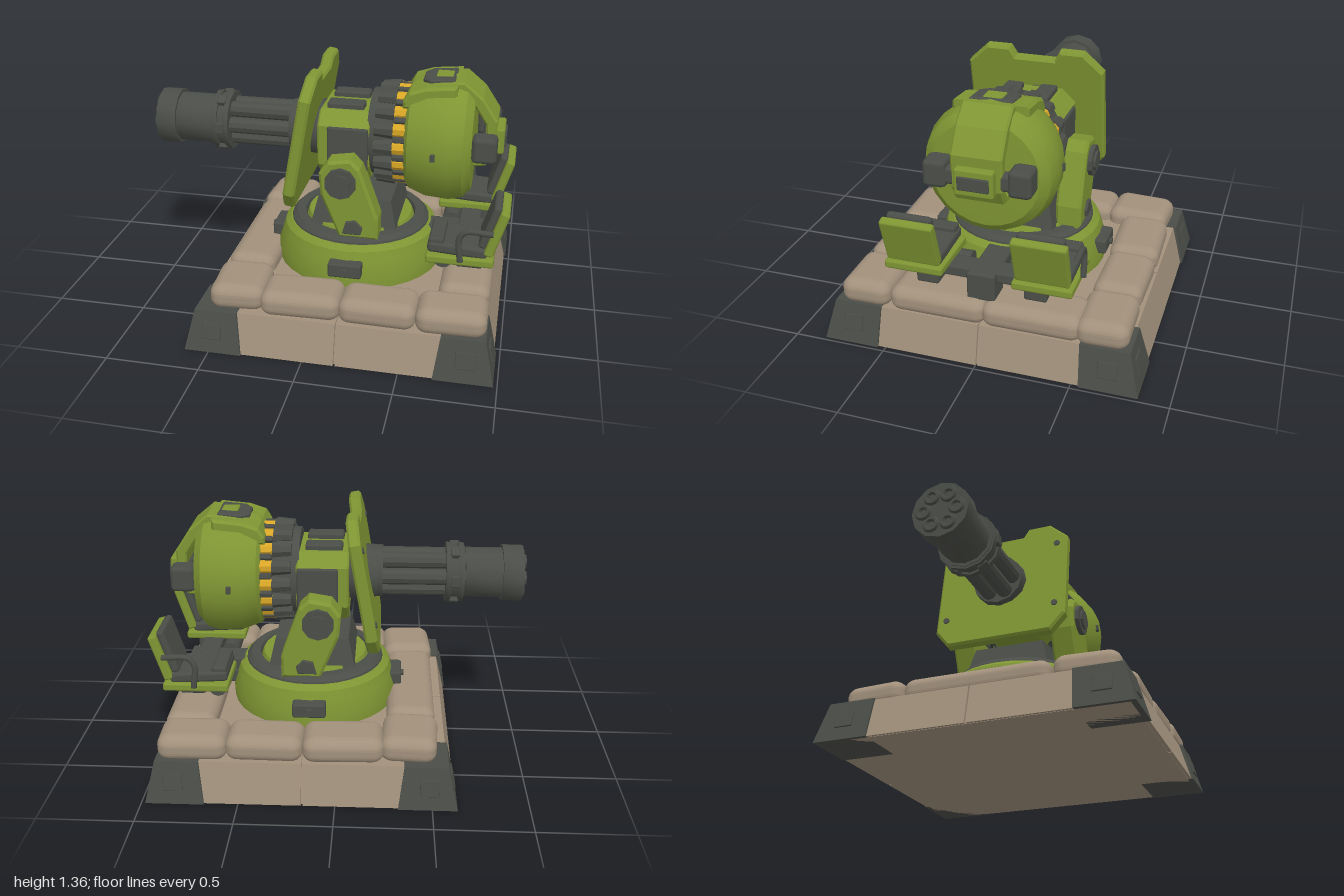
import * as THREE from 'three';
import { toCreasedNormals } from 'three/addons/utils/BufferGeometryUtils.js';
import { RoundedBoxGeometry } from 'three/addons/geometries/RoundedBoxGeometry.js';

const mat = (name, color) => { const m = new THREE.MeshStandardMaterial({ color }); m.name = name; return m; };
const green = mat('olive green', 0x7f9533), dark = mat('gunmetal', 0x4b4e48);
const sand = mat('sandbag tan', 0xa1907b), brass = mat('brass', 0xd9a726);

function add(parent, name, geo, material, x = 0, y = 0, z = 0) {
  const m = new THREE.Mesh(geo, material);
  m.name = name; m.position.set(x, y, z); parent.add(m);
  return m;
}
function group(parent, name, x = 0, y = 0, z = 0) {
  const g = new THREE.Group(); g.name = name; g.position.set(x, y, z); parent.add(g);
  return g;
}
const box = (w, h, d, r = 0.012) => new RoundedBoxGeometry(w, h, d, 1, r);
// cylinder lying along x; r0 is the end towards -x
const cylX = (r0, r1, len, n = 16) =>
  toCreasedNormals(new THREE.CylinderGeometry(r0, r1, len, n).rotateZ(Math.PI / 2), 0.6);
const cylZ = (r, len, n = 16) =>
  toCreasedNormals(new THREE.CylinderGeometry(r, r, len, n).rotateX(Math.PI / 2), 0.6);
const lathe = (pts, n) =>
  toCreasedNormals(new THREE.LatheGeometry(pts.map(p => new THREE.Vector2(...p)), n), 0.45);

// block between a bottom and a top rectangle, each [x0, x1, z0, z1]
function frustum(bottom, top, y0, y1) {
  const g = new THREE.BoxGeometry(1, 1, 1).toNonIndexed(), p = g.attributes.position;
  for (let i = 0; i < p.count; i++) {
    const r = p.getY(i) > 0 ? top : bottom;
    p.setXYZ(i, r[p.getX(i) > 0 ? 1 : 0], p.getY(i) > 0 ? y1 : y0, r[p.getZ(i) > 0 ? 3 : 2]);
  }
  g.computeVertexNormals();
  return g;
}
// bevelled plate from an outline, centred on its depth
function plate(pts, depth, bevel = 0.01) {
  const g = new THREE.ExtrudeGeometry(new THREE.Shape(pts.map(p => new THREE.Vector2(...p))), {
    depth: depth - 2 * bevel, bevelEnabled: bevel > 0, bevelSize: bevel, bevelOffset: -bevel,
    bevelThickness: bevel, bevelSegments: 1 });
  return g.translate(0, 0, bevel - depth / 2);
}

function buildBase(root) {
  const base = group(root, 'base', 0.175);
  add(base, 'baseCore', frustum([-0.78, 0.78, -0.81, 0.81], [-0.73, 0.73, -0.75, 0.75], 0, 0.205), sand);
  add(base, 'innerFloor', frustum([-0.5, 0.55, -0.53, 0.53], [-0.48, 0.53, -0.51, 0.51], 0.2, 0.25), sand);
  for (const s of [-1, 1]) {
    // two sloped wall panels on every side, parted by a seam
    for (const [a, b] of [[-0.55, -0.01], [0.0, 0.55]]) {
      const zs = (o, i) => s > 0 ? [i, o] : [-o, -i];
      add(base, 'sidePanel', frustum([a, b, ...zs(0.83, 0.6)], [a, b, ...zs(0.77, 0.6)], 0.002, 0.215), sand);
      add(base, 'endPanel', frustum([...zs(0.795, 0.6), a, b], [...zs(0.745, 0.6), a, b], 0.002, 0.215), sand);
    }
    // corner caps with raised square plates
    for (const t of [-1, 1]) {
      const r = (o, i, k) => k > 0 ? [i, o] : [-o, -i];
      add(base, 'cornerCap', frustum([...r(0.805, 0.5, t), ...r(0.84, 0.54, s)],
        [...r(0.755, 0.53, t), ...r(0.785, 0.53, s)], 0, 0.22), dark);
      const a = add(base, 'cornerPlate', box(0.1, 0.09, 0.012, 0.004), dark, t * 0.66, 0.115, s * 0.813);
      a.rotation.x = -s * 0.25;
      const b = add(base, 'cornerPlate', box(0.012, 0.09, 0.1, 0.004), dark, t * 0.781, 0.115, s * 0.68);
      b.rotation.z = t * 0.22;
    }
  }
}

function buildSandbags(root) {
  const bags = group(root, 'sandbags');
  // sagging bag: rounded box, fuller in the middle than at its ends
  const bag = (x, z, w, d, turn = 0) => {
    const g = new RoundedBoxGeometry(w, 0.155, d, 4, 0.06), p = g.attributes.position;
    for (let i = 0; i < p.count; i++) {
      const u = p.getX(i) / w * 2, v = p.getZ(i) / d * 2;
      p.setY(i, p.getY(i) * (1.03 - 0.14 * u * u - 0.12 * v * v));
    }
    g.computeVertexNormals();
    add(bags, 'sandbag', g, sand, x, 0.268, z).rotation.y = turn;
  };
  for (const s of [-1, 1]) {
    bag(-0.035, s * 0.625, 0.42, 0.27, 0.03);
    bag(0.37, s * 0.63, 0.4, 0.26, -0.02);
    bag(0.745, s * 0.63, 0.36, 0.27, 0.02);
    bag(-0.38, s * 0.57, 0.29, 0.34, s * 0.06);
    bag(0.79, s * 0.25 - 0.02, 0.27, 0.52);
  }
  bag(-0.39, -0.01, 0.26, 0.8);
}

function buildTurntable(root) {
  const t = group(root, 'turntable', 0.155);
  add(t, 'turntableDrum', lathe([[0.46, 0.22], [0.465, 0.32], [0.44, 0.4], [0.425, 0.45], [0.395, 0.475], [0, 0.475]], 32), green);
  add(t, 'bearingRing', lathe([[0.39, 0.46], [0.385, 0.485], [0.36, 0.51], [0.31, 0.51], [0.3, 0.47]], 32), dark);
  add(t, 'turntableDeck', new THREE.CylinderGeometry(0.29, 0.31, 0.05, 24), green, 0, 0.49, 0);
  for (let i = 0; i < 4; i++) {
    const g = group(t, 'rimPlate'); g.rotation.y = i * Math.PI / 2;
    add(g, 'rimPlateBlock', box(0.18, 0.08, 0.08), dark, 0, 0.365, 0.455);
    add(g, 'rimPlateBolt', cylZ(0.018, 0.02, 8), dark, 0, 0.365, 0.5);
  }
  add(t, 'pedestal', frustum([-0.24, 0.24, -0.24, 0.24], [-0.2, 0.2, -0.2, 0.2], 0.49, 0.66), dark);

  // mirrored yoke arms with pivots
  const arm = [[0.1, 0.5], [0.31, 0.5], [0.31, 0.62], [0.21, 0.9], [0.16, 0.95], [0.04, 0.93], [-0.01, 0.86], [0, 0.74]];
  const foot = [[0.12, 0.53], [0.22, 0.53], [0.23, 0.57], [0.19, 0.61], [0.14, 0.6]];
  const yoke = group(root, 'yoke');
  for (const s of [-1, 1]) {
    add(yoke, 'yokeArm', plate(arm, 0.14, 0.015), green, 0, 0, s * 0.295);
    add(yoke, 'yokeFootPlate', plate(foot, 0.02, 0.004), dark, 0, 0, s * 0.37);
    add(yoke, 'pivotCap', cylZ(0.085, 0.06, 10), dark, 0.11, 0.82, s * 0.36);
    add(yoke, 'pivotBolt', cylZ(0.055, 0.03, 10), dark, 0.11, 0.82, s * 0.388);
  }
}

function buildGun(root) {
  const gun = group(root, 'gun', 0, 0.99, 0);
  // six rotating barrels held by clamps
  for (let i = 0; i < 6; i++) {
    const a = i * Math.PI / 3, y = Math.sin(a) * 0.09, z = Math.cos(a) * 0.09;
    add(gun, 'barrel', cylX(0.042, 0.045, 0.84, 10), dark, -0.56, y, z);
    add(gun, 'muzzle', toCreasedNormals(new THREE.TorusGeometry(0.032, 0.014, 6, 12).rotateY(Math.PI / 2), 1), dark, -0.982, y, z);
  }
  add(gun, 'barrelCore', cylX(0.06, 0.06, 0.8, 10), dark, -0.55);
  for (const [x, r, len] of [[-0.925, 0.155, 0.11], [-0.77, 0.138, 0.2], [-0.615, 0.152, 0.1], [-0.645, 0.165, 0.03], [-0.58, 0.165, 0.03], [-0.2, 0.145, 0.05]])
    add(gun, 'barrelClamp', cylX(r, r, len, 12), dark, x);
  for (let i = 0; i < 6; i++) {
    const g = group(gun, 'clampLug'); g.rotation.x = i * Math.PI / 3 + Math.PI / 6;
    add(g, 'clampLugBlock', box(0.05, 0.03, 0.06, 0.006), dark, -0.613, 0.155, 0);
  }
  add(gun, 'barrelCollar', cylX(0.145, 0.16, 0.2, 12), dark, -0.1);

  // receiver: faceted green body with dark side and top plates
  const r = 0.16, h = 0.235, c = 0.13;
  const oct = [[-h, -c], [-c, -h], [c, -h], [h, -c], [h, 0.09], [c + 0.03, r], [-c - 0.03, r], [-h, 0.09]];
  add(gun, 'receiver', plate(oct, 0.28).rotateY(Math.PI / 2), green, 0.095);
  for (const s of [-1, 1]) {
    add(gun, 'receiverSidePlate', box(0.22, 0.3, 0.03), dark, 0.12, -0.06, s * 0.235);
    add(gun, 'receiverTopPlate', box(0.2, 0.05, 0.095), dark, 0.09, 0.165, s * 0.095);
  }

  // ammunition ring
  add(gun, 'ringCore', cylX(0.235, 0.25, 0.24, 24), dark, 0.34);
  const n = 16;
  for (let i = 0; i < n; i++) {
    const g = group(gun, 'ammoSlot'); g.rotation.x = i / n * Math.PI * 2;
    add(g, 'ammoTube', cylX(0.036, 0.046, 0.1, 8), dark, 0.31, 0.24, 0);
    add(g, 'cartridge', cylX(0.038, 0.038, 0.1, 8), brass, 0.385, 0.238, 0);
    const d = group(g, 'divider'); d.rotation.x = Math.PI / n;
    add(d, 'ammoDivider', box(0.08, 0.05, 0.032, 0.008), dark, 0.4, 0.25, 0);
  }

  // rear drum
  add(gun, 'rearDrum', lathe([[0, 0.42], [0.27, 0.42], [0.3, 0.44], [0.335, 0.53], [0.345, 0.66], [0.325, 0.73], [0.28, 0.77], [0, 0.785]], 24)
    .rotateZ(-Math.PI / 2), green);
  for (const s of [-1, 1])
    add(gun, 'drumLatch', box(0.025, 0.04, 0.02, 0.004), dark, 0.58, 0, s * 0.34);

  // band arching over the drum to the grip
  add(gun, 'topCover', plate([[0.4, 0.2], [0.68, 0.2], [0.68, 0.335], [0.52, 0.32], [0.43, 0.29], [0.4, 0.24]], 0.39, 0.015), green);
  add(gun, 'rearBand', plate([[0.55, 0.28], [0.68, 0.285], [0.75, 0.24], [0.83, 0.12], [0.84, -0.02], [0.81, -0.07], [0.75, -0.07],
    [0.75, -0.12], [0.84, -0.11], [0.885, -0.03], [0.89, 0.14], [0.81, 0.26], [0.71, 0.343], [0.55, 0.325]], 0.26), green);
  const hatch = [[-0.08, -0.11], [0.05, -0.11], [0.09, -0.06], [0.09, 0.06], [0.05, 0.11], [-0.08, 0.11]];
  add(gun, 'hatchRim', plate(hatch.map(([x, y]) => [-x, y]).reverse(), 0.035, 0.008).rotateX(-Math.PI / 2), dark, 0.58, 0.325, 0).rotation.z = 0.08;
  add(gun, 'hatchLid', box(0.09, 0.02, 0.1, 0.006), green, 0.6, 0.34, 0);

  // rear grip
  add(gun, 'gripBar', box(0.07, 0.09, 0.46, 0.02), dark, 0.85, 0.02, 0);
  for (const s of [-1, 1])
    add(gun, 'gripHandle', box(0.13, 0.14, 0.12, 0.025), dark, 0.835, 0.025, s * 0.215);
  add(gun, 'gripFrame', box(0.06, 0.14, 0.2), green, 0.9, 0.02, 0);
  add(gun, 'gripSight', box(0.02, 0.07, 0.16, 0.006), dark, 0.93, 0.02, 0);

  // sloped shield with cut corners and a sighting notch
  const half = [[0.3, -0.37], [0.38, -0.27], [0.38, 0.27], [0.27, 0.375], [0.14, 0.375], [0.11, 0.32]];
  const outline = [...half, ...half.map(([x, y]) => [-x, y]).reverse()];
  const shield = group(gun, 'shield', -0.125, 0, 0);
  shield.rotation.z = -0.174;
  add(shield, 'shieldPlate', plate(outline, 0.065, 0.012).rotateY(Math.PI / 2), green);
  for (const s of [-1, 1]) for (const y of [-0.2, 0.22])
    add(shield, 'shieldBolt', cylX(0.018, 0.018, 0.012, 8), dark, -0.034, y, s * 0.32);
}

function buildSeats(root) {
  const seats = group(root, 'crewSeats');
  add(seats, 'seatBeam', box(0.4, 0.1, 0.14), dark, 0.66, 0.42, 0);
  add(seats, 'beamEnd', box(0.14, 0.15, 0.15), dark, 0.8, 0.405, 0);
  add(seats, 'crossBeam', box(0.12, 0.06, 0.62), dark, 0.77, 0.45, 0);
  for (const s of [-1, 1]) {
    const seat = group(seats, 'seat', 0, 0, s * 0.335);
    add(seat, 'seatMount', cylZ(0.05, 0.24, 12), dark, 0.66, 0.425, -s * 0.1);
    add(seat, 'seatBracket', box(0.14, 0.1, 0.12), dark, 0.8, 0.43, -s * 0.05);
    add(seat, 'seatTray', box(0.35, 0.045, 0.31), green, 0.755, 0.49, 0);
    add(seat, 'seatCushion', box(0.31, 0.06, 0.27, 0.02), dark, 0.74, 0.54, 0).rotation.z = -0.06;
    add(seat, 'cushionFront', box(0.08, 0.04, 0.25, 0.015), dark, 0.63, 0.58, 0);
    const back = group(seat, 'backrest', 0.935, 0.65, 0);
    back.rotation.z = -0.3;
    add(back, 'backShell', box(0.05, 0.26, 0.28), green);
    add(back, 'backPad', box(0.045, 0.25, 0.24, 0.018), dark, -0.042, 0.015, 0);
    const path = new THREE.CatmullRomCurve3([[0.76, 0.5], [0.75, 0.63], [0.78, 0.67], [0.92, 0.67]]
      .map(([x, y]) => new THREE.Vector3(x, y, s * 0.165)));
    add(seat, 'armrest', new THREE.TubeGeometry(path, 14, 0.016, 8), dark);
  }
}

export function createModel() {
  const root = new THREE.Group();
  root.name = 'gunTurret';
  buildBase(root);
  buildSandbags(root);
  buildTurntable(root);
  buildGun(root);
  buildSeats(root);
  return root;
}
